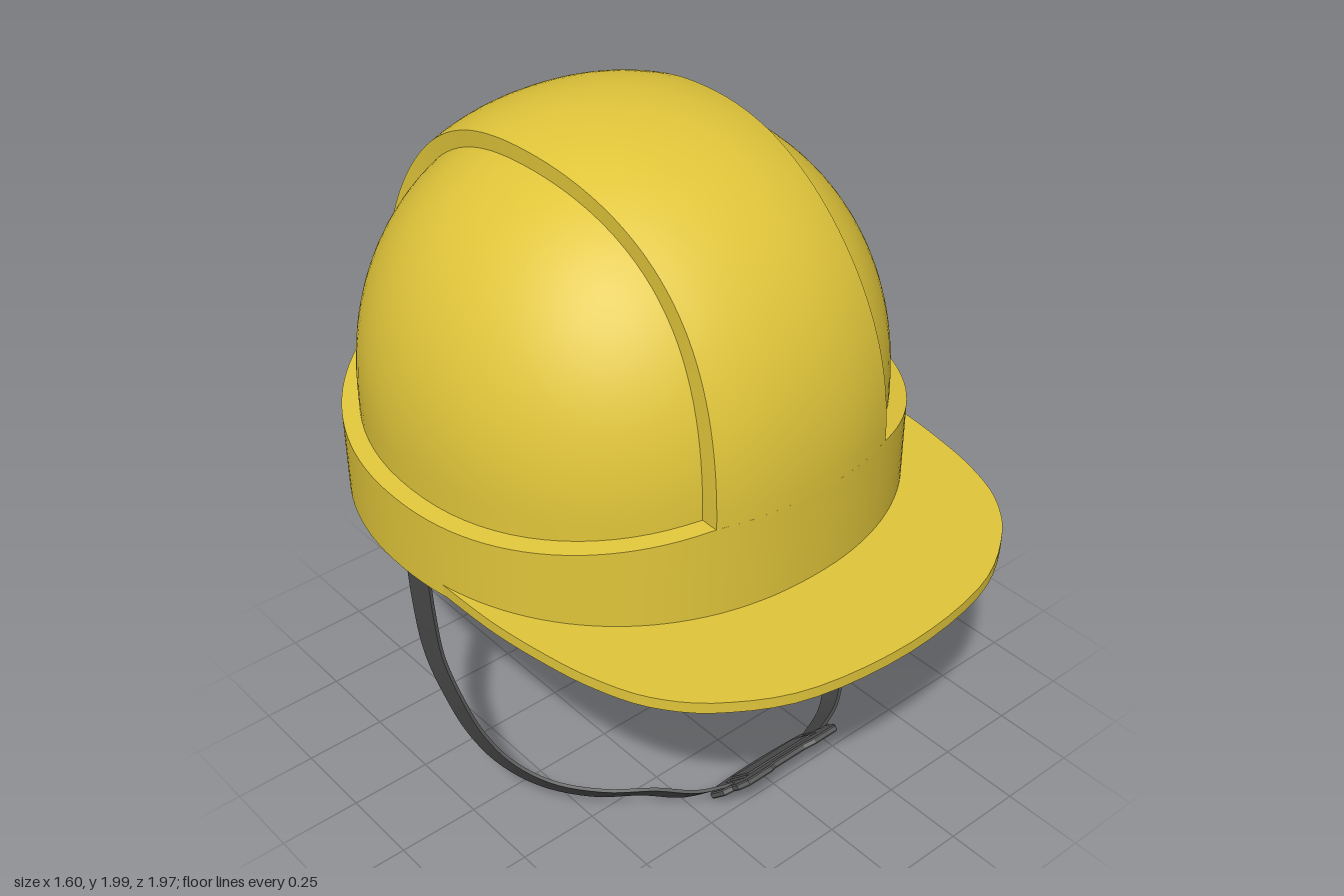
import * as THREE from 'three';
import { mergeGeometries, toCreasedNormals } from 'three/addons/utils/BufferGeometryUtils.js';

const P = 2.15;          // roundness of the shell
const CZ = -0.185;       // shell centre in z
const BASE = 0.835;      // bottom rim height
const SPRING = 1.15;     // height where the dome starts to curve in
const pw = (v) => Math.sign(v) * Math.abs(v) ** (2 / P);
const sc = (a) => pw(Math.cos(a));
const ss = (a) => pw(Math.sin(a));
const { lerp, clamp } = THREE.MathUtils;

const yellow = new THREE.MeshStandardMaterial({ color: 0xe0c53a, side: THREE.DoubleSide });
const webbing = new THREE.MeshStandardMaterial({ color: 0x4a4a4a, side: THREE.DoubleSide });
const plastic = new THREE.MeshStandardMaterial({ color: 0x5a5a5a });

// Grid surface from f(u, v) -> [x, y, z]
function surface(f, nu, nv) {
  const pos = [], idx = [];
  for (let i = 0; i <= nu; i++) for (let j = 0; j <= nv; j++) pos.push(...f(i / nu, j / nv));
  for (let i = 0; i < nu; i++) for (let j = 0; j < nv; j++) {
    const a = i * (nv + 1) + j, b = a + nv + 1;
    idx.push(a, a + 1, b, b, a + 1, b + 1);
  }
  const g = new THREE.BufferGeometry();
  g.setAttribute('position', new THREE.Float32BufferAttribute(pos, 3));
  g.setIndex(idx);
  return toCreasedNormals(g, 0.6);
}

// Rounded dome with a straight skirt down to yBottom
function dome(a, h, yBottom) {
  return surface((u, v) => {
    const phi = u * Math.PI * 2;
    const th = Math.max(0, (v * 33 - 1) / 32) * Math.PI / 2;
    const y = v === 0 ? yBottom : SPRING + h * ss(th);
    return [a * sc(th) * sc(phi), y, CZ + a * sc(th) * ss(phi)];
  }, 96, 33);
}

// Ring between two footprints; y may depend on x
function ring(a0, y0, a1, y1) {
  return surface((u, v) => {
    const phi = u * Math.PI * 2, a = v ? a1 : a0, x = a * sc(phi);
    return [x, (v ? y1 : y0)(x), CZ + a * ss(phi)];
  }, 128, 1);
}

// Point on a dome section at fixed x, t from front to back
function section(a, h, x, t) {
  const k = (1 - Math.abs(x / a) ** P) ** (1 / P);
  return [x, SPRING + h * k * ss(t), CZ + a * k * sc(t)];
}

function brimGeometry() {
  const half = [[0.786, -0.02], [0.778, 0.2], [0.752, 0.39], [0.715, 0.55], [0.65, 0.7], [0.53, 0.83], [0.32, 0.94]];
  const pts = [...half, [0, 0.98], ...half.slice().reverse().map(([x, z]) => [-x, z])];
  const outline = new THREE.SplineCurve(pts.map((p) => new THREE.Vector2(...p))).getPoints(60);
  for (let i = 0; i <= 40; i++) {
    const phi = lerp(0.93, 0.07, i / 40) * Math.PI;
    outline.push(new THREE.Vector2(0.77 * sc(phi), CZ + 0.77 * ss(phi)));
  }
  const g = new THREE.ExtrudeGeometry(new THREE.Shape(outline), { depth: 0.034, bevelEnabled: false });
  g.rotateX(Math.PI / 2).translate(0, 0.872, 0);
  return toCreasedNormals(g, 0.6);
}

// Flat webbing swept along a curve, twisting toward the buckle
function strapGeometry() {
  const curve = new THREE.CatmullRomCurve3([
    [0.738, 0.92, -0.215], [0.743, 0.65, -0.185], [0.74, 0.5, -0.155], [0.732, 0.39, -0.09],
    [0.71, 0.28, -0.015], [0.67, 0.2, 0.07], [0.6, 0.145, 0.17], [0.5, 0.125, 0.28],
    [0.38, 0.12, 0.37], [0.28, 0.1, 0.44], [0.165, 0.097, 0.487],
  ].map((p) => new THREE.Vector3(...p)));
  const corners = [[1, 1], [-1, 1], [-1, -1], [1, -1], [1, 1]];
  return surface((u, v) => {
    const c = curve.getPoint(u), t = curve.getTangent(u);
    const tilt = clamp(u * 1.4, 0, 1) * Math.PI / 4;
    const w = new THREE.Vector3(0, Math.sin(tilt), Math.cos(tilt));
    w.addScaledVector(t, -w.dot(t)).normalize();
    const n = new THREE.Vector3().crossVectors(t, w);
    const [a, b] = corners[Math.round(v * 4)];
    return c.addScaledVector(w, a * lerp(0.053, 0.046, u)).addScaledVector(n, b * 0.005).toArray();
  }, 48, 4);
}

function buckleGeometry() {
  const half = [[0.06, 0.095], [0.09, 0.115], [0.175, 0.115], [0.195, 0.085], [0.192, 0.05], [0.215, 0.03],
    [0.215, -0.04], [0.19, -0.065], [0.165, -0.09], [0.08, -0.112]];
  const pts = [...half, [0, -0.118], ...half.slice().reverse().map(([x, y]) => [-x, y])];
  const shape = new THREE.Shape(pts.map((p) => new THREE.Vector2(...p)));
  for (const s of [-1, 1]) {
    const slot = [[0.128, -0.055], [0.128, 0.055], [0.15, 0.055], [0.15, -0.055]];
    shape.holes.push(new THREE.Path(slot.map(([x, y]) => new THREE.Vector2(s * x, y))));
  }
  return new THREE.ExtrudeGeometry(shape, {
    depth: 0.012, bevelEnabled: true, bevelSize: 0.004, bevelThickness: 0.004, bevelSegments: 1,
  }).translate(0, 0, -0.006);
}

export function createModel() {
  const model = new THREE.Group();
  const add = (name, geometry, material, parent = model) => {
    const mesh = new THREE.Mesh(geometry, material);
    mesh.name = name;
    parent.add(mesh);
    return mesh;
  };

  // Dome and its inside
  add('dome', dome(0.75, 0.81, 1.0), yellow);
  add('innerShell', dome(0.735, 0.79, BASE), yellow);

  // Lower band: wall, sloping ledge and bottom rim
  const top = (x) => lerp(1.155, 1.07, clamp((Math.abs(x) - 0.31) / 0.49, 0, 1));
  const base = () => BASE;
  add('band', mergeGeometries([
    ring(0.8, base, 0.8, top), ring(0.8, top, 0.745, top), ring(0.735, base, 0.8, base),
  ]), yellow);

  // Raised centre strip from front to back, with side walls
  const width = (t) => 0.3 + 0.011 * Math.cos(4 * t);
  const wall = (s) => surface((u, v) => {
    const t = u * Math.PI, x = s * width(t);
    return v ? section(0.745, 0.805, x, t) : section(0.8, 0.85, x, t);
  }, 72, 1);
  add('centreStrip', mergeGeometries([
    surface((u, v) => section(0.8, 0.85, (v * 2 - 1) * width(u * Math.PI), u * Math.PI), 72, 16),
    wall(1), wall(-1),
  ]), yellow);

  add('brim', brimGeometry(), yellow);

  // Chin strap, mirrored
  const strap = strapGeometry();
  add('leftStrap', strap, webbing);
  add('rightStrap', strap, webbing).scale.x = -1;

  // Buckle with the webbing running behind its centre bar
  const buckle = new THREE.Group();
  buckle.name = 'buckle';
  buckle.position.set(0, 0.097, 0.493);
  buckle.rotation.x = Math.PI / 4;
  add('buckleFrame', buckleGeometry(), plastic, buckle);
  add('buckleBar', new THREE.BoxGeometry(0.25, 0.1, 0.03), plastic, buckle);
  model.add(buckle);

  return model;
}
